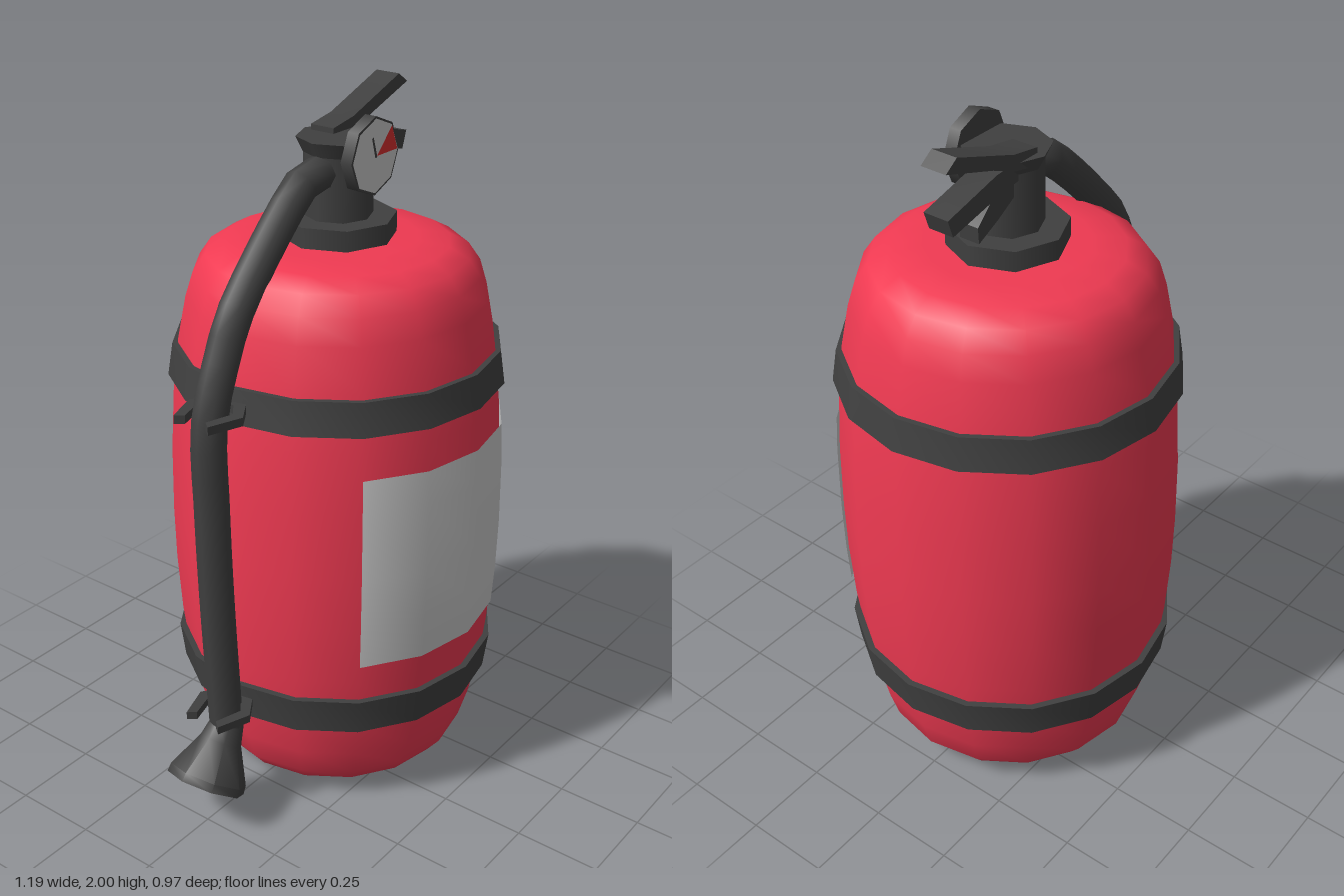
import * as THREE from 'three';
import { toCreasedNormals } from 'three/addons/utils/BufferGeometryUtils.js';

const CX = 0.115; // axis of the cylinder
const mat = (color, side = THREE.FrontSide) => new THREE.MeshStandardMaterial({ color, side });
const red = mat(0xf03a52);
const dark = mat(0x404040);
const grey = mat(0xcccccc);
const greySheet = mat(0xcccccc, THREE.DoubleSide);
const warning = mat(0xd83030);

const v2 = (pts) => pts.map(([x, y]) => new THREE.Vector2(x, y));

export function createModel() {
  const root = new THREE.Group();
  const add = (name, geometry, material, x = 0, y = 0, z = 0) => {
    const m = new THREE.Mesh(geometry, material);
    m.name = name;
    m.position.set(x, y, z);
    root.add(m);
    return m;
  };
  // Flat outline in xy, given thickness along z
  const plate = (pts, depth) => toCreasedNormals(
    new THREE.ExtrudeGeometry(new THREE.Shape(v2(pts)), { depth, bevelEnabled: false }), 0.6);

  // Barrel-shaped tank, 16 sides
  add('tank', new THREE.LatheGeometry(v2([
    [0, 0], [0.18, 0.005], [0.29, 0.018], [0.355, 0.045], [0.395, 0.095], [0.42, 0.18],
    [0.446, 0.3], [0.465, 0.46], [0.476, 0.64], [0.479, 0.8], [0.476, 1.0], [0.465, 1.18],
    [0.446, 1.34], [0.422, 1.46], [0.4, 1.53], [0.365, 1.58], [0.31, 1.61], [0.22, 1.622], [0, 1.625],
  ]), 16), red, CX);

  // Two straps round the tank
  const band = (name, y0, y1, r0, r1) => add(name, toCreasedNormals(new THREE.LatheGeometry(v2([
    [0.43, y0], [r0, y0], [r1, y1], [0.43, y1],
  ]), 16), 0.7), dark, CX);
  band('lowerBand', 0.29, 0.4, 0.462, 0.476);
  band('upperBand', 1.23, 1.325, 0.478, 0.463);

  // Curved label on the front
  add('label', new THREE.LatheGeometry(v2([
    [0.476, 0.52], [0.483, 0.64], [0.486, 0.8], [0.483, 1.0], [0.477, 1.105],
  ]), 4, -Math.PI / 4, Math.PI / 2), greySheet, CX);

  // Neck, valve and cap
  add('collar', new THREE.CylinderGeometry(0.162, 0.162, 0.07, 8), dark, CX, 1.645);
  add('valveStem', new THREE.CylinderGeometry(0.096, 0.096, 0.2, 8), dark, CX, 1.77);
  add('valveCap', new THREE.CylinderGeometry(0.116, 0.092, 0.05, 8), dark, CX, 1.87);

  // Pressure gauge
  const rim = add('gaugeRim', new THREE.CylinderGeometry(0.106, 0.106, 0.035, 8), dark, CX, 1.857, 0.102);
  rim.rotation.x = Math.PI / 2;
  const dial = add('gaugeDial', new THREE.CircleGeometry(0.1, 8), grey, CX, 1.857, 0.1205);
  dial.rotation.z = Math.PI / 2;
  add('gaugeWarningZone', new THREE.ShapeGeometry(new THREE.Shape(v2([
    [0.005, 0], [0.097, 0], [0.071, 0.068],
  ]))), warning, CX, 1.857, 0.1215);
  add('gaugeNeedle', new THREE.ShapeGeometry(new THREE.Shape(v2([
    [-0.004, -0.004], [0.005, -0.003], [-0.013, 0.053], [-0.02, 0.05],
  ]))), dark, CX, 1.857, 0.1225);

  // Squeeze lever, carrying handle and trigger
  add('upperLever', plate([
    [0.11, 1.86], [0.2, 1.88], [0.28, 1.915], [0.45, 1.972], [0.41, 2.0], [0.2, 1.925], [0.11, 1.91],
  ], 0.076), dark, 0, 0, -0.09);
  add('carryHandle', plate([
    [0.13, 1.84], [0.23, 1.83], [0.415, 1.79], [0.432, 1.84], [0.25, 1.885], [0.13, 1.895],
  ], 0.075), dark, 0, 0, -0.075);
  add('trigger', plate([
    [0.17, 1.8], [0.24, 1.76], [0.315, 1.725], [0.318, 1.77], [0.25, 1.835], [0.17, 1.85],
  ], 0.06), dark, 0, 0, -0.07);

  // Hose from the valve down the tank's side
  const path = new THREE.CatmullRomCurve3([
    [0.1, 1.81], [-0.03, 1.805], [-0.09, 1.765], [-0.325, 1.525], [-0.365, 1.45], [-0.435, 1.26],
    [-0.437, 1.0], [-0.428, 0.7], [-0.405, 0.28],
  ].map(([x, y]) => new THREE.Vector3(x, y, 0)), false, 'centripetal');
  add('hose', new THREE.TubeGeometry(path, 24, 0.048, 8, false), dark);

  // Flared nozzle at the hose's end
  const nozzle = add('nozzle', toCreasedNormals(new THREE.LatheGeometry(v2([
    [0, 0], [0.117, 0], [0.115, 0.025], [0.062, 0.13], [0.047, 0.195], [0, 0.215],
  ]), 8), 0.8), dark, -0.503, 0.136);
  nozzle.rotation.z = -0.588;

  // Open clips holding the hose to the straps
  const half = [[-0.34, 0.045], [-0.41, 0.092], [-0.508, 0.058], [-0.49, 0.035], [-0.41, 0.058], [-0.368, 0.025]];
  const outer = half.slice(0, 3), inner = half.slice(3);
  const flip = (pts) => pts.map(([x, z]) => [x, -z]).reverse();
  const clipOutline = [...outer, ...inner, ...flip(inner), ...flip(outer)];
  for (const [name, y] of [['lowerClip', 0.36], ['upperClip', 1.29]]) {
    add(name, plate(clipOutline, 0.024), dark, 0, y).rotation.x = Math.PI / 2;
  }
  return root;
}
